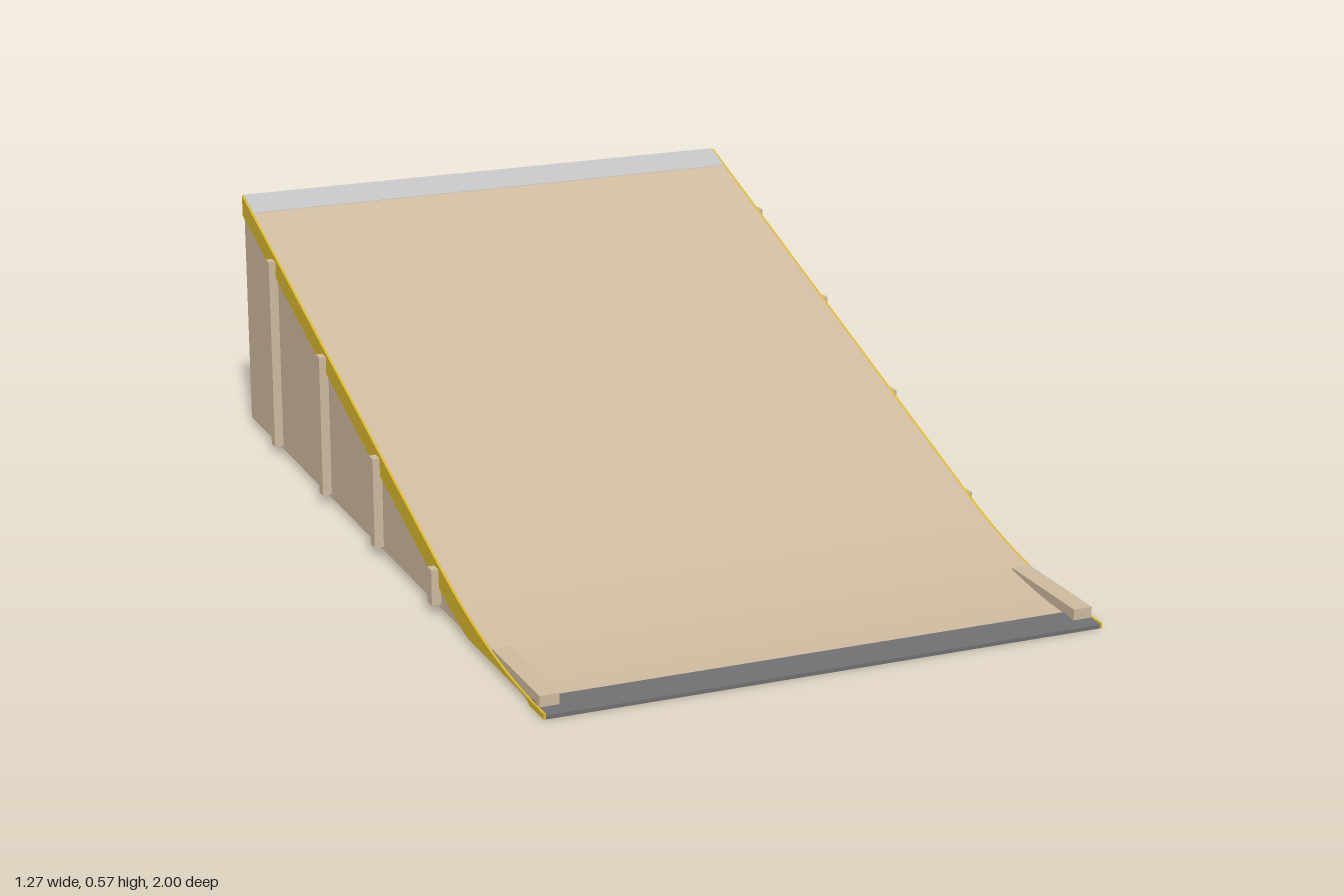
import * as THREE from 'three';
import { toCreasedNormals } from 'three/addons/utils/BufferGeometryUtils.js';

const mat = (name, color) => Object.assign(new THREE.MeshStandardMaterial({ color }), { name });

// Height of the riding surface: flat lip, parabolic transition, straight slope
const surface = (z) => {
  if (z > 0.95) return 0.012;
  if (z > 0.413) return 0.012 + 0.312 * (0.95 - z) ** 2;
  return 0.24 - 0.335 * z;
};

export function createModel() {
  const group = new THREE.Group();
  group.name = 'ramp';
  const wood = mat('plywood', 0xcdb99e);
  const yellow = mat('yellow paint', 0xd6b52a);
  const steel = mat('light steel', 0xc2c2c4);
  const dark = mat('dark steel', 0x6e6e70);

  const add = (name, geometry, material) => {
    const mesh = new THREE.Mesh(geometry, material);
    mesh.name = name;
    group.add(mesh);
    return mesh;
  };
  const box = (name, x0, x1, y0, y1, z0, z1, material = wood) => {
    const g = new THREE.BoxGeometry(x1 - x0, y1 - y0, z1 - z0);
    g.translate((x0 + x1) / 2, (y0 + y1) / 2, (z0 + z1) / 2);
    return add(name, g, material);
  };
  // Solid between an upper and a lower height rule, from z0 (front) to z1 (back)
  const slab = (name, x0, x1, z0, z1, top, bottom, material) => {
    const zs = [z0];
    for (let i = 0; i <= 20; i++) {
      const z = 0.95 - (0.537 * i) / 20;
      if (z < z0 - 1e-4 && z > z1 + 1e-4) zs.push(z);
    }
    zs.push(z1);
    const pts = zs.map((z) => new THREE.Vector2(z, top(z)));
    pts.push(...zs.reverse().map((z) => new THREE.Vector2(z, bottom(z))));
    const g = new THREE.ExtrudeGeometry(new THREE.Shape(pts), { depth: x1 - x0, bevelEnabled: false });
    g.rotateY(-Math.PI / 2).translate(x1, 0, 0);
    return add(name, toCreasedNormals(g, 0.3), material);
  };

  // Riding deck with metal strips at both ends
  slab('deck', -0.612, 0.612, 0.95, -0.91, surface, (z) => surface(z) - 0.012, wood);
  slab('topEdgeStrip', -0.612, 0.612, -0.91, -0.987, (z) => surface(z) + 0.001, (z) => surface(z) - 0.013, steel);
  slab('frontPlate', -0.612, 0.612, 1, 0.925,
    (z) => 0.008 + (1 - z) * 0.1, () => 0, dark);

  // Hollow body: side walls, stripes, ribs and curbs mirrored left and right
  for (const s of [1, -1]) {
    const side = s > 0 ? 'left' : 'right';
    const span = (a, b) => (s > 0 ? [a, b] : [-b, -a]);
    slab(side + 'Wall', ...span(0.585, 0.612), 0.8, -0.985,
      (z) => surface(z) - 0.012, () => 0.012, wood);
    slab(side + 'Stripe', ...span(0.612, 0.617), 1, -0.985, surface,
      (z) => (z > 0.9 ? 0 : Math.max(0.01, surface(z) - 0.048)), yellow);
    for (const z of [0.385, 0.01, -0.36, -0.735]) {
      box(side + 'Rib', ...span(0.611, 0.633), 0.02, surface(z) - 0.012, z - 0.013, z + 0.013);
    }
    box(side + 'Curb', ...span(0.57, 0.612), 0.01, 0.035, 0.7, 0.965);
  }

  // Back wall and its centre rib
  box('backWall', -0.612, 0.612, 0.012, 0.557, -0.986, -0.96);
  box('backRib', -0.013, 0.013, 0.03, 0.555, -1, -0.985);
  return group;
}
